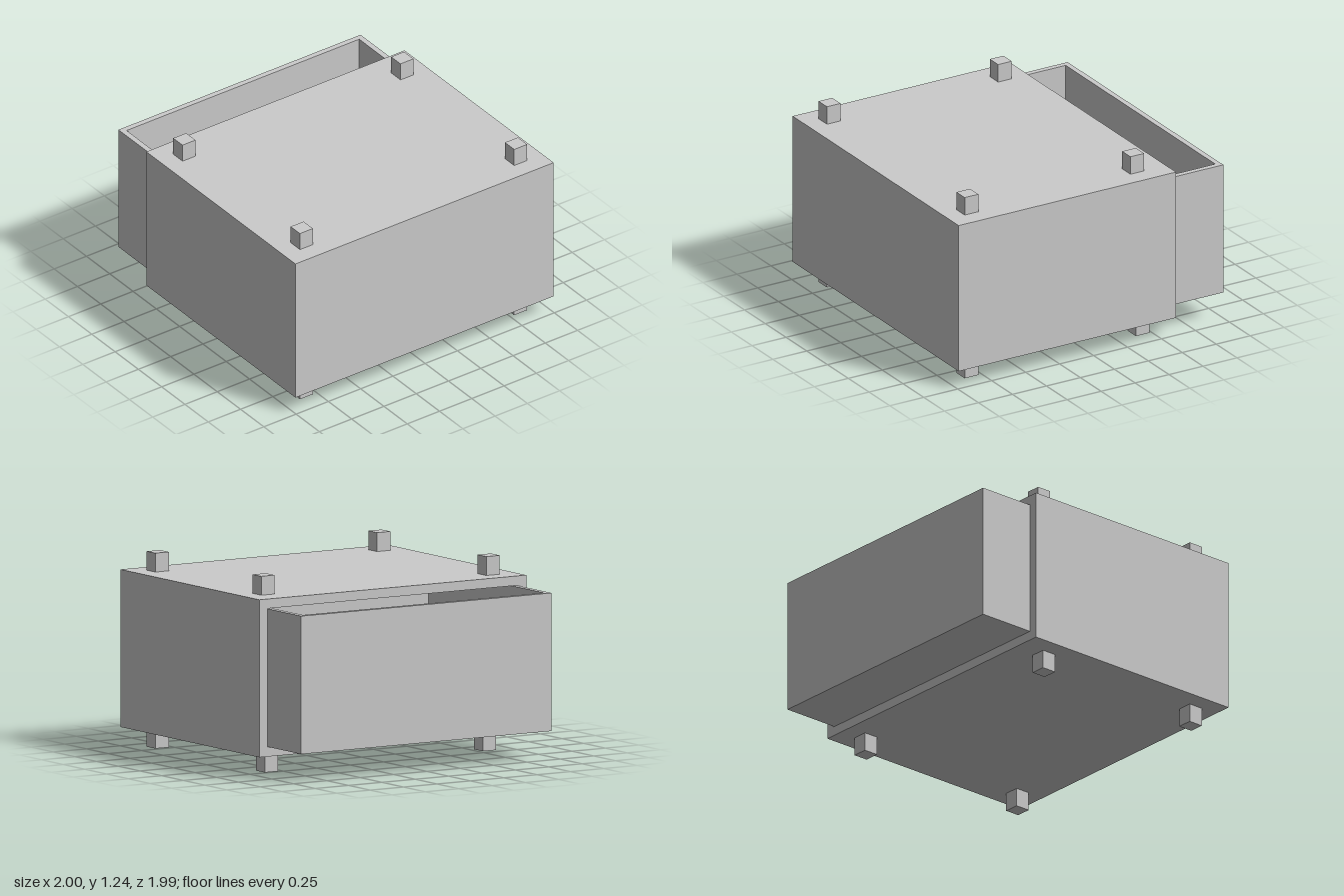
import * as THREE from 'three';

const material = new THREE.MeshStandardMaterial({ color: 0xcccccc, flatShading: true });

function addMesh(parent, name, geometry, x, y, z) {
  const mesh = new THREE.Mesh(geometry, material);
  mesh.name = name;
  mesh.position.set(x, y, z);
  parent.add(mesh);
  return mesh;
}

// Rectangular ring, extruded along +z: a box with two open ends
function sleeve(w, h, wall, depth) {
  const rect = (path, a, b) =>
    path.moveTo(-a, -b).lineTo(a, -b).lineTo(a, b).lineTo(-a, b).closePath();
  const shape = rect(new THREE.Shape(), w / 2, h / 2);
  shape.holes.push(rect(new THREE.Path(), w / 2 - wall, h / 2 - wall));
  return new THREE.ExtrudeGeometry(shape, { depth, bevelEnabled: false });
}

export function createModel() {
  const model = new THREE.Group();
  model.name = 'drawerBox';

  // Case: hollow shell, closed at the front and open at the back
  const back = -0.607, front = 0.993, wall = 0.06, midY = 0.62;
  const caseGroup = new THREE.Group();
  caseGroup.name = 'case';
  model.add(caseGroup);
  addMesh(caseGroup, 'caseShell', sleeve(2, 1, wall, front - back - wall), 0, midY, back);
  addMesh(caseGroup, 'caseFront', new THREE.BoxGeometry(2, 1, wall), 0, midY, front - wall / 2);

  // Drawer: open-topped tray sliding out of the back
  const w = 1.876, h = 0.876, length = 1.4, board = 0.037, bottom = midY - h / 2;
  const drawer = new THREE.Group();
  drawer.name = 'drawer';
  drawer.position.set(0, bottom, -0.993 + length / 2);
  model.add(drawer);
  const walls = sleeve(w, length, board, h - board).rotateX(-Math.PI / 2);
  addMesh(drawer, 'drawerWalls', walls, 0, board, 0);
  addMesh(drawer, 'drawerFloor', new THREE.BoxGeometry(w, board, length), 0, board / 2, 0);

  // Feet on the underside and matching pegs on top, the lower set turned half round
  const peg = new THREE.BoxGeometry(0.1, 0.12, 0.1);
  for (const side of [1, -1]) {
    const name = side > 0 ? 'topPeg' : 'foot';
    for (const [x, z] of [[0.83, 0.825], [-0.83, 0.825], [0.83, -0.395], [-0.83, -0.435]]) {
      addMesh(model, name, peg, x * side, midY + side * 0.56, z);
    }
  }
  return model;
}
